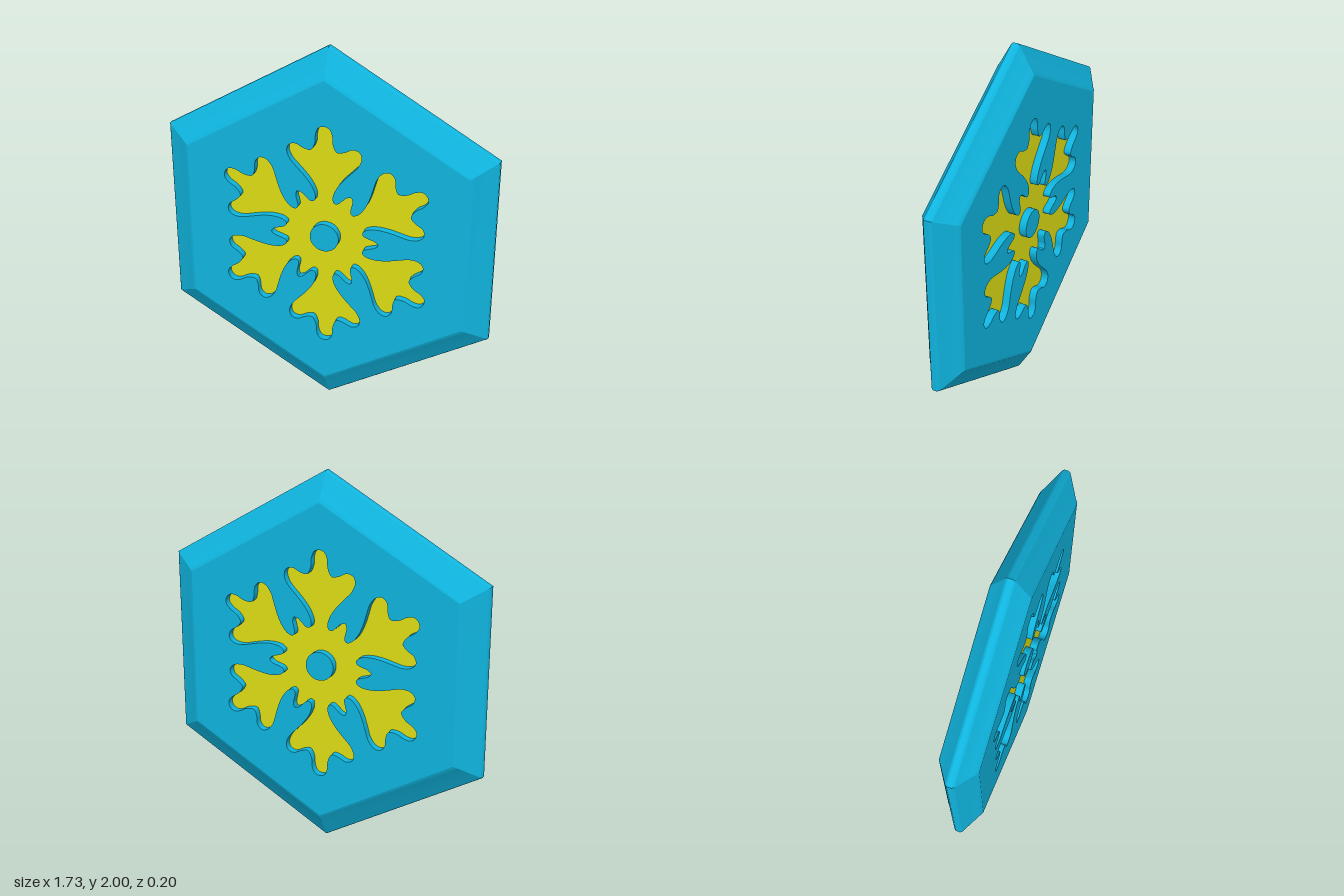
import * as THREE from 'three';
import { toCreasedNormals } from 'three/addons/utils/BufferGeometryUtils.js';

const blue = new THREE.MeshStandardMaterial({ name: 'bright blue', color: 0x0fb4de });
const yellow = new THREE.MeshStandardMaterial({ name: 'yellow', color: 0xdcdc14 });

const HALF = 0.1;      // half thickness of the plate
const DEPTH = 0.04;    // depth of the engraving
const FACE_R = 0.85;   // corner radius of the flat face

function part(name, geometry, material) {
  const mesh = new THREE.Mesh(geometry, material);
  mesh.name = name;
  return mesh;
}

// Half an arm of the snowflake, from its tip to the small spike between arms
function snowflakePoints() {
  const polar = (r, deg) => [r * Math.sin(deg * Math.PI / 180), r * Math.cos(deg * Math.PI / 180)];
  const half = [
    [0.028, 0.604], [0.043, 0.57], [0.046, 0.525], [0.068, 0.483], [0.105, 0.488],
    [0.15, 0.508], [0.184, 0.498], [0.195, 0.465], [0.178, 0.42], [0.14, 0.378],
    [0.1, 0.335], [0.064, 0.285], polar(0.24, 11), polar(0.212, 14), polar(0.213, 19),
    polar(0.242, 23.5), polar(0.27, 26.2),
  ];
  const arm = [
    ...half.slice().reverse().map(([x, y]) => [-x, y]),
    [0, 0.614],
    ...half,
    polar(0.286, 30),
  ];
  const points = [];
  for (let i = 0; i < 6; i++) {
    const c = Math.cos(i * Math.PI / 3), s = Math.sin(i * Math.PI / 3);
    for (const [x, y] of arm) points.push(new THREE.Vector3(x * c + y * s, y * c - x * s, 0));
  }
  const curve = new THREE.CatmullRomCurve3(points, true, 'centripetal');
  return curve.getPoints(points.length * 4).slice(0, -1).map(p => new THREE.Vector2(p.x, p.y));
}

// One engraved face: panel with cut-out, recessed floor and centre stud
function engravedFace(outline) {
  const face = new THREE.Group();
  const hexagon = new THREE.Shape();
  for (let i = 0; i < 6; i++) {
    const a = Math.PI / 2 + i * Math.PI / 3;
    hexagon[i ? 'lineTo' : 'moveTo'](FACE_R * Math.cos(a), FACE_R * Math.sin(a));
  }
  hexagon.closePath();
  hexagon.holes.push(new THREE.Path(outline));
  const panel = new THREE.ExtrudeGeometry(hexagon, { depth: DEPTH, bevelEnabled: false });
  panel.translate(0, 0, HALF - DEPTH);
  face.add(part('facePanel', toCreasedNormals(panel, 0.6), blue));

  const floor = new THREE.ShapeGeometry(new THREE.Shape(outline));
  floor.translate(0, 0, HALF - DEPTH);
  face.add(part('snowflakeFloor', floor, yellow));

  const stud = new THREE.CylinderGeometry(0.077, 0.077, DEPTH, 40);
  stud.rotateX(Math.PI / 2).translate(0, 0, HALF - DEPTH / 2);
  face.add(part('centreStud', stud, blue));
  return face;
}

export function createModel() {
  const model = new THREE.Group();
  model.name = 'snowflakeHexagon';
  const body = new THREE.Group();
  body.name = 'hexagonPlate';
  body.position.y = 1;
  model.add(body);

  // Bevelled six-sided rim, symmetric front to back
  const side = [[1, 0.012], [0.992, 0.022], [0.877, 0.086], [0.866, 0.094], [FACE_R, HALF]];
  const profile = [
    ...side.slice().reverse().map(([r, z]) => new THREE.Vector2(r, -z)),
    ...side.map(([r, z]) => new THREE.Vector2(r, z)),
  ];
  const rim = new THREE.LatheGeometry(profile, 6).rotateX(Math.PI / 2);
  body.add(part('bevelledRim', toCreasedNormals(rim, 0.3), blue));

  // Matching engraving on front and back
  const outline = snowflakePoints();
  ['frontFace', 'backFace'].forEach((name, i) => {
    const face = engravedFace(outline);
    face.name = name;
    face.rotation.y = i * Math.PI;
    body.add(face);
  });
  return model;
}
